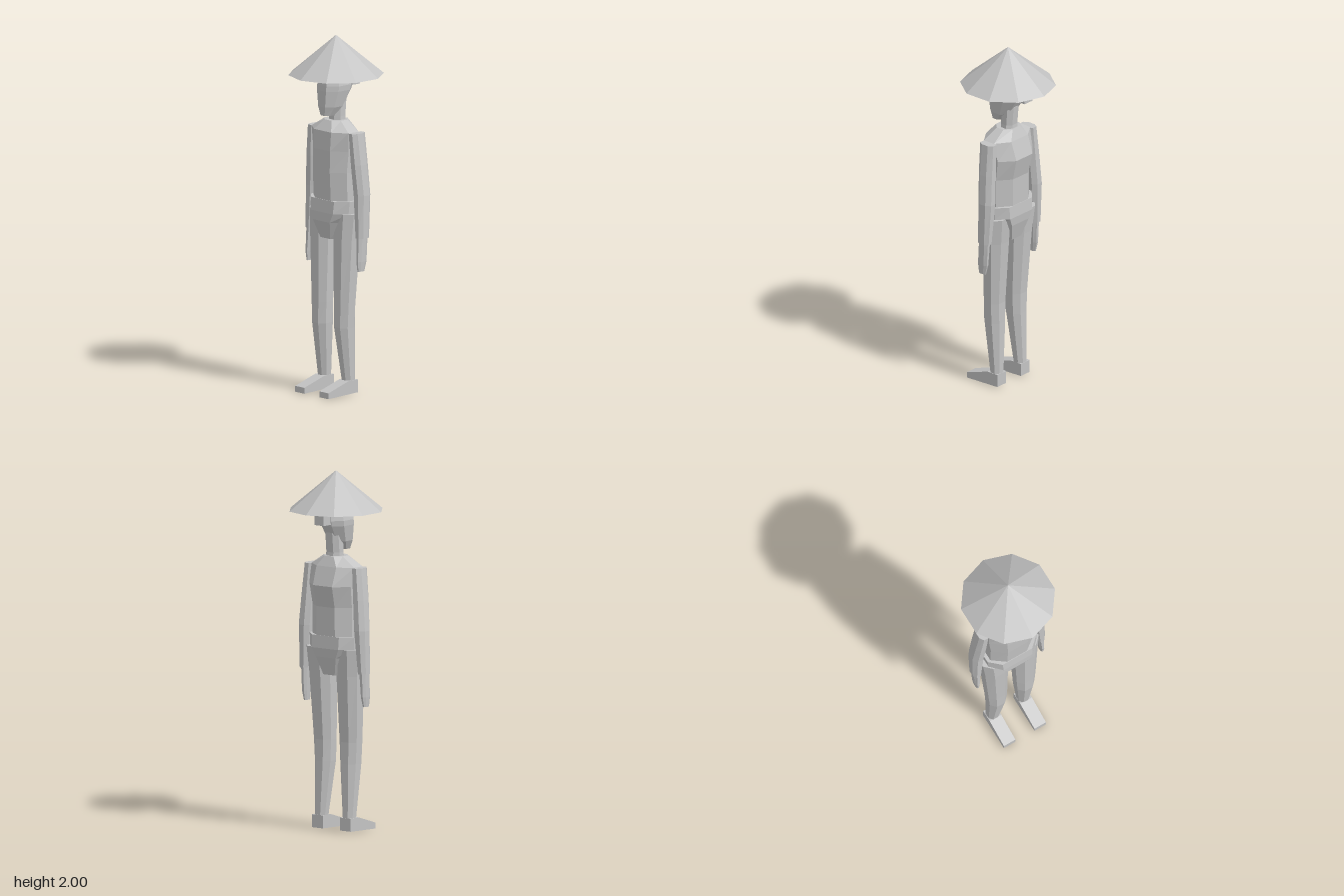
import * as THREE from 'three';

const clay = new THREE.MeshStandardMaterial({ color: 0xc4c4c4, flatShading: true, side: THREE.DoubleSide });
clay.name = 'plainGrey';

// Faceted solid through chamfered rectangular sections [y, centreX, halfWidth, zFront, zBack], listed upwards.
// kx and kz give the flat share of the front and side faces.
function loft(sections, kx = 0.45, kz = 0.45) {
  const outline = [[-kx, 1], [kx, 1], [1, kz], [1, -kz], [kx, -1], [-kx, -1], [-1, -kz], [-1, kz]];
  const n = outline.length;
  const rings = sections.map(([y, cx, hw, zf, zb]) =>
    outline.map(([u, v]) => [cx + u * hw, y, (zf + zb) / 2 + v * (zf - zb) / 2]));
  const pos = [];
  const tri = (a, b, c) => pos.push(...a, ...b, ...c);
  for (let r = 0; r < rings.length - 1; r++) {
    for (let i = 0; i < n; i++) {
      const j = (i + 1) % n, lo = rings[r], hi = rings[r + 1];
      tri(lo[i], lo[j], hi[j]);
      tri(lo[i], hi[j], hi[i]);
    }
  }
  const first = rings[0], last = rings[rings.length - 1];
  for (let i = 1; i < n - 1; i++) {
    tri(first[0], first[i + 1], first[i]);
    tri(last[0], last[i], last[i + 1]);
  }
  const g = new THREE.BufferGeometry();
  g.setAttribute('position', new THREE.Float32BufferAttribute(pos, 3));
  g.computeVertexNormals();
  return g;
}

export function createModel() {
  const model = new THREE.Group();
  model.name = 'figure';
  const add = (name, geometry, parent = model) => {
    const mesh = new THREE.Mesh(geometry, clay);
    mesh.name = name;
    parent.add(mesh);
    return mesh;
  };

  // Ten-sided straw hat, open underneath
  add('hat', new THREE.ConeGeometry(0.265, 0.22, 10, 1, true)).position.y = 1.89;

  // Head, hair bun and neck
  add('head', loft([
    [1.56, 0, 0.036, 0.1, 0.025],
    [1.61, 0, 0.062, 0.107, -0.03],
    [1.7, 0, 0.081, 0.108, -0.083],
    [1.73, 0, 0.083, 0.106, -0.09],
    [1.79, 0, 0.072, 0.1, -0.09],
    [1.85, 0, 0.045, 0.065, -0.055],
  ]));
  add('hairBun', new THREE.BoxGeometry(0.065, 0.07, 0.065)).position.set(0, 1.745, -0.118);
  add('neck', loft([
    [1.48, 0, 0.05, 0.035, -0.055],
    [1.55, 0, 0.046, 0.032, -0.05],
    [1.66, 0, 0.046, 0.025, -0.06],
  ]));

  // Torso with sloping shoulders, then the wider hips
  add('torso', loft([
    [1.05, 0, 0.138, 0.095, -0.09],
    [1.25, 0, 0.138, 0.105, -0.092],
    [1.37, 0, 0.145, 0.106, -0.12],
    [1.475, 0, 0.15, 0.1, -0.085],
    [1.53, 0, 0.066, 0.06, -0.06],
  ], 0.46, 0.4));
  add('hips', loft([
    [0.87, 0, 0.066, 0.08, -0.062],
    [0.97, 0, 0.115, 0.11, -0.09],
    [1.02, 0, 0.153, 0.108, -0.097],
    [1.09, 0, 0.157, 0.1, -0.093],
  ], 0.6, 0.4));

  // Side profile of a shoe as z, y pairs
  const shoe = new THREE.Shape([
    [-0.04, 0.008], [0.18, 0], [0.18, 0.033], [0.03, 0.08], [-0.04, 0.08],
  ].map(([z, y]) => new THREE.Vector2(z, y)));

  for (const [side, s] of [['left', 1], ['right', -1]]) {
    const limbs = new THREE.Group();
    limbs.name = side + 'Limbs';
    model.add(limbs);

    add(side + 'Arm', loft([
      [0.89, s * 0.204, 0.027, 0.03, -0.048],
      [1.13, s * 0.194, 0.038, 0.03, -0.062],
      [1.3, s * 0.181, 0.036, 0.04, -0.056],
      [1.475, s * 0.166, 0.03, 0.045, -0.05],
    ]), limbs);
    add(side + 'Hand', loft([
      [0.705, s * 0.207, 0.009, 0.026, -0.018],
      [0.76, s * 0.207, 0.014, 0.032, -0.032],
      [0.9, s * 0.204, 0.02, 0.025, -0.04],
    ]), limbs);
    add(side + 'Leg', loft([
      [0.07, s * 0.097, 0.034, 0.03, -0.038],
      [0.38, s * 0.089, 0.054, 0.074, -0.036],
      [0.5, s * 0.09, 0.06, 0.074, -0.036],
      [0.87, s * 0.095, 0.073, 0.075, -0.062],
      [1.02, s * 0.102, 0.077, 0.072, -0.078],
    ]), limbs);

    const foot = new THREE.ExtrudeGeometry(shoe, { depth: 0.074, bevelEnabled: false });
    foot.translate(0, 0, -0.037);
    foot.rotateY(-Math.PI / 2);
    add(side + 'Foot', foot, limbs).position.x = s * 0.098;
  }
  return model;
}
